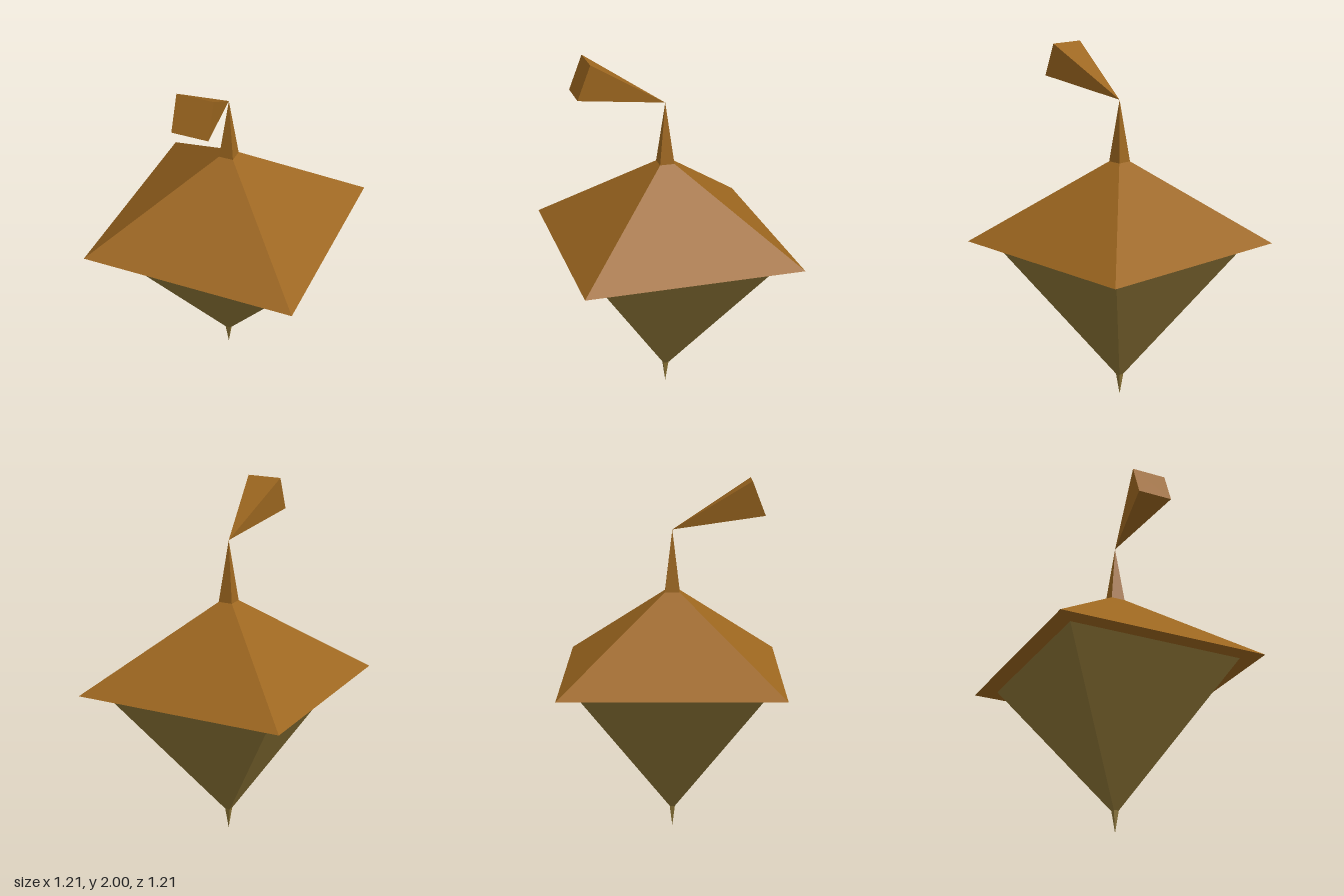
import * as THREE from 'three';

const wood = new THREE.MeshStandardMaterial({ color: 0x9c661f, flatShading: true });
const olive = new THREE.MeshStandardMaterial({ color: 0x8a7235, flatShading: true });

// Square pyramid with its base centre at one point and its apex at another
function pyramid(name, material, halfWidth, base, apex) {
  const from = new THREE.Vector3(...base);
  const axis = new THREE.Vector3(...apex).sub(from);
  const geometry = new THREE.ConeGeometry(halfWidth * Math.SQRT2, axis.length(), 4);
  geometry.rotateY(Math.PI / 4);
  const mesh = new THREE.Mesh(geometry, material);
  mesh.name = name;
  mesh.position.copy(from).addScaledVector(axis, 0.5);
  // The axis always lies in the YZ plane, so one turn about x is enough
  mesh.rotation.x = Math.atan2(axis.z, axis.y);
  return mesh;
}

export function createModel() {
  const group = new THREE.Group();
  group.name = 'spinningTop';
  group.add(
    // Wide upper half and narrower, deeper lower half, meeting base to base
    pyramid('upperBody', wood, 0.605, [0, 0.915, 0], [0, 1.415, 0]),
    pyramid('lowerBody', olive, 0.505, [0, 0.915, 0], [0, 0.1, 0]),
    // Slender spikes emerging from both ends
    pyramid('stem', wood, 0.048, [0, 1.32, 0], [0, 1.725, 0]),
    pyramid('tip', olive, 0.024, [0, 0.2, 0], [0, 0, 0]),
    // Handle flaring forward and up from the top of the stem
    pyramid('handle', wood, 0.1, [0, 1.907, 0.468], [0, 1.725, 0]),
  );
  return group;
}
